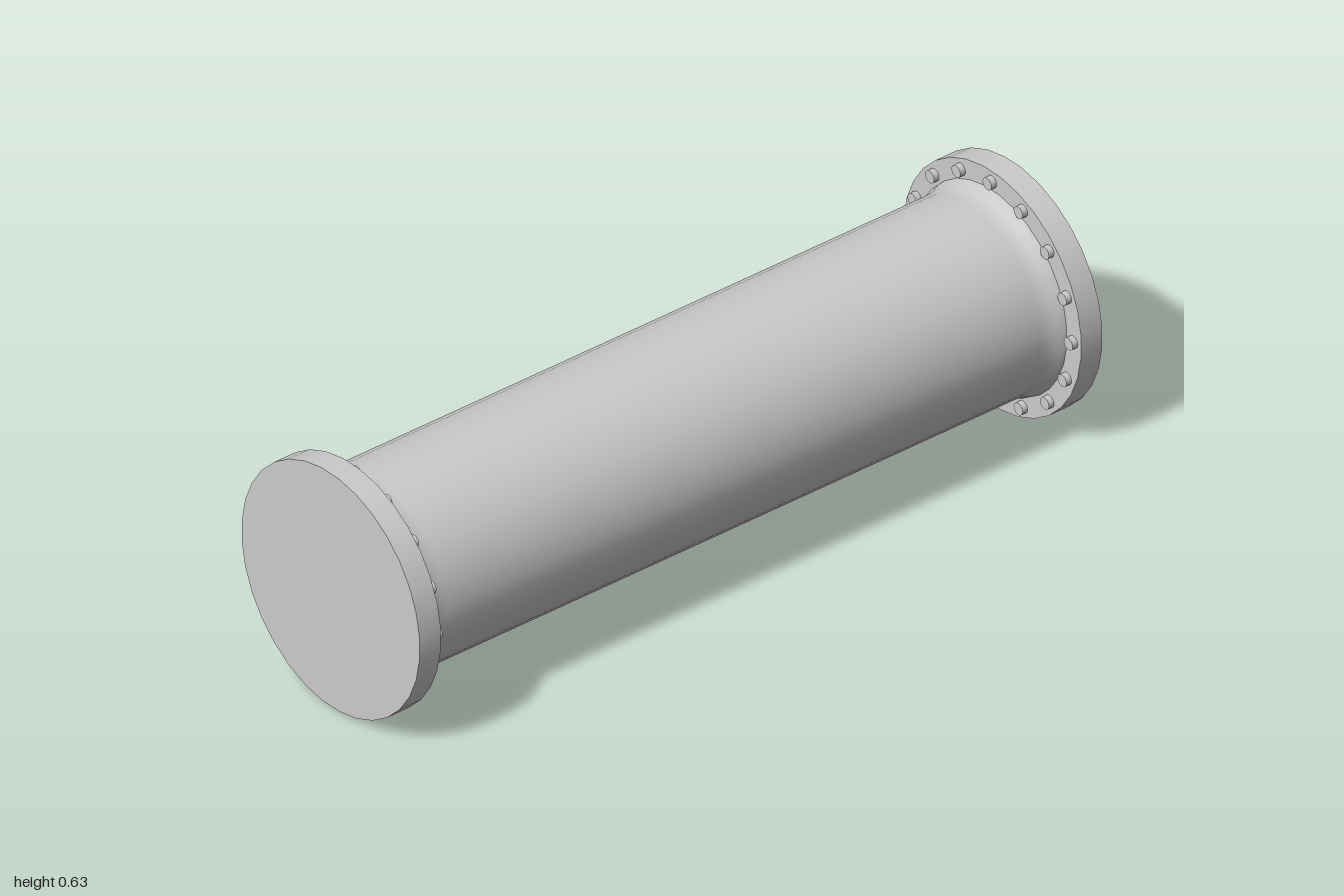
import * as THREE from 'three';

const SIDES = 32;
const FLAT = 0.3137; // centre height: apothem of the flange
const RIM = FLAT / Math.cos(Math.PI / SIDES);

export function createModel() {
  const group = new THREE.Group();
  const mat = new THREE.MeshStandardMaterial({ color: 0xcccccc });

  const add = (name, geo, parent) => {
    const mesh = new THREE.Mesh(geo, mat);
    mesh.name = name;
    parent.add(mesh);
    return mesh;
  };

  // Lathe lying along x, turned half a step so flats face up and down
  const lathe = (pts) => {
    const geo = new THREE.LatheGeometry(pts.map(([r, x]) => new THREE.Vector2(r, x)), SIDES, Math.PI / SIDES);
    return geo.rotateZ(-Math.PI / 2);
  };

  // Main tube, flaring in a small fillet towards both flanges
  const flare = [[0.265, 0.94], [0.262, 0.925], [0.256, 0.91], [0.252, 0.89], [0.251, 0.87]];
  const profile = [...flare.map(([r, x]) => [r, -x]), ...flare.slice().reverse()];
  add('pipe', lathe(profile), group).position.y = FLAT;

  // Closed flange with a ring of bolts on its inner face, at each end
  for (const side of [1, -1]) {
    const end = new THREE.Group();
    end.name = side > 0 ? 'leftEnd' : 'rightEnd';
    end.position.y = FLAT;
    if (side < 0) end.rotation.y = Math.PI;
    group.add(end);

    const disc = new THREE.CylinderGeometry(RIM, RIM, 0.062, SIDES, 1, false, Math.PI / SIDES);
    add('flange', disc.rotateZ(-Math.PI / 2).translate(0.969, 0, 0), end);

    for (let i = 0; i < 16; i++) {
      const a = (i / 16) * Math.PI * 2;
      const bolt = new THREE.CylinderGeometry(0.016, 0.016, 0.024, 12).rotateZ(Math.PI / 2);
      add('bolt', bolt, end).position.set(0.935, Math.cos(a) * 0.287, Math.sin(a) * 0.287);
    }
  }
  return group;
}
